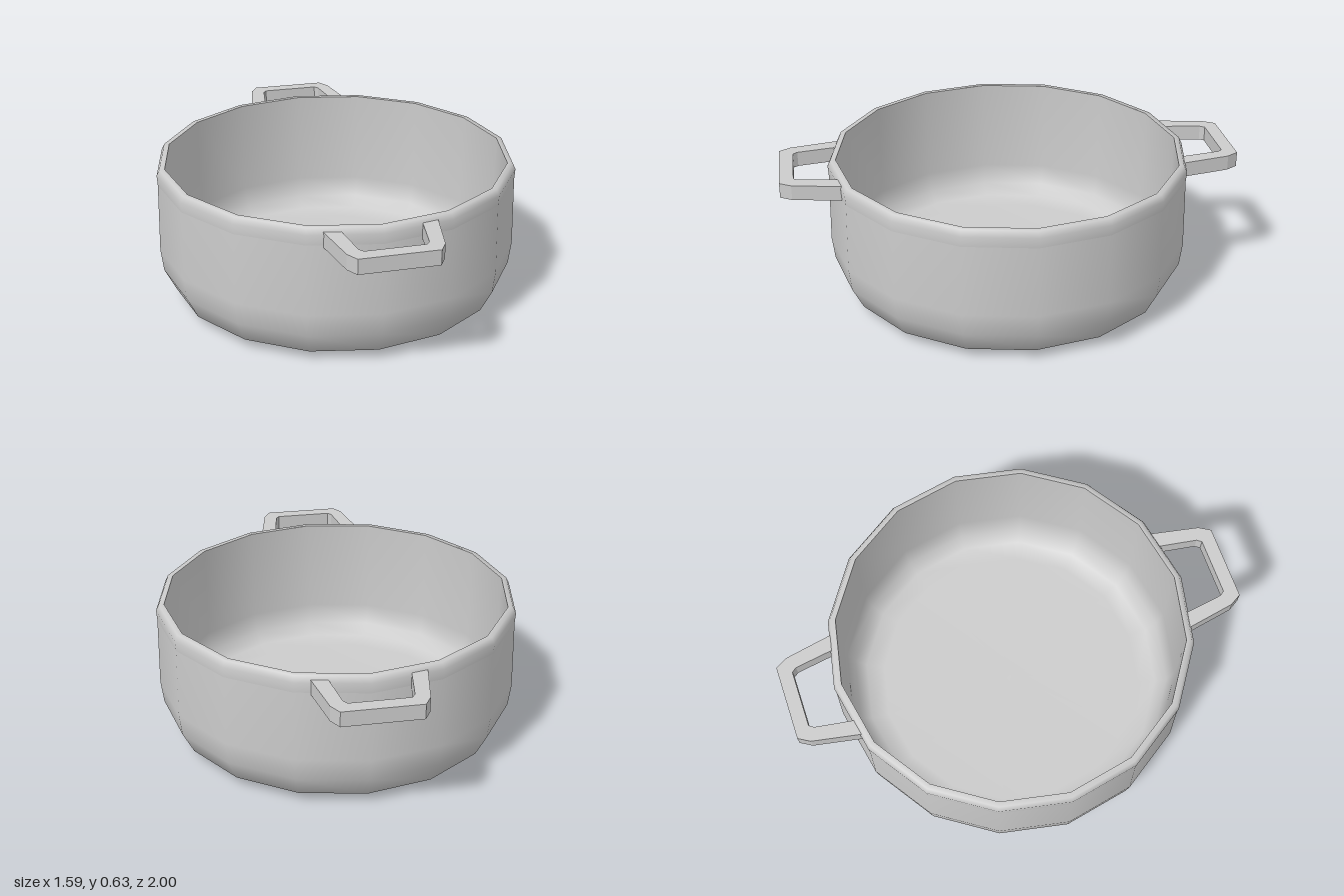
import * as THREE from 'three';

const SIDES = 16;

// Surface of revolution from [radius, height] pairs, ordered so it faces outward
function turned(name, points, material) {
  const profile = points.map(([r, y]) => new THREE.Vector2(r, y));
  const mesh = new THREE.Mesh(new THREE.LatheGeometry(profile, SIDES), material);
  mesh.name = name;
  return mesh;
}

// Trapezoid loop with clipped corners, thickness running up y
function handle(name, side, material) {
  const half = [[0.235, 0.74], [0.195, 0.95], [0.165, 1]];
  const hole = [[0.168, 0.74], [0.14, 0.92], [0.125, 0.94]];
  const mirror = (pts) => pts.map(([x, z]) => [-x, z]);
  const outline = [...half, ...mirror(half).reverse(), ...mirror(hole), ...hole.slice().reverse()];
  const shape = new THREE.Shape(outline.map(([x, z]) => new THREE.Vector2(x, z)));
  const geometry = new THREE.ExtrudeGeometry(shape, { depth: 0.066, bevelEnabled: false });
  geometry.rotateX(Math.PI / 2);
  const mesh = new THREE.Mesh(geometry, material);
  mesh.name = name;
  mesh.position.y = 0.616;
  mesh.rotation.y = side > 0 ? 0 : Math.PI;
  return mesh;
}

export function createModel() {
  const material = new THREE.MeshStandardMaterial({ color: 0xcccccc, side: THREE.DoubleSide });
  const model = new THREE.Group();
  model.name = 'cookingPot';

  // Pot body: rounded outer wall, lip, and hollow inside
  const body = new THREE.Group();
  body.name = 'body';
  body.add(
    turned('base', [[0, 0.004], [0.63, 0.006]], material),
    turned('outerWall', [[0.63, 0.006], [0.735, 0.05], [0.785, 0.15], [0.797, 0.25], [0.79, 0.56]], material),
    turned('rim', [[0.79, 0.56], [0.793, 0.605], [0.78, 0.632], [0.757, 0.632]], material),
    turned('innerWall', [[0.757, 0.632], [0.757, 0.2], [0.73, 0.11], [0.68, 0.065], [0.6, 0.045], [0, 0.042]], material),
  );
  model.add(body);

  // Matching handles front and back
  model.add(handle('frontHandle', 1, material), handle('backHandle', -1, material));
  return model;
}
